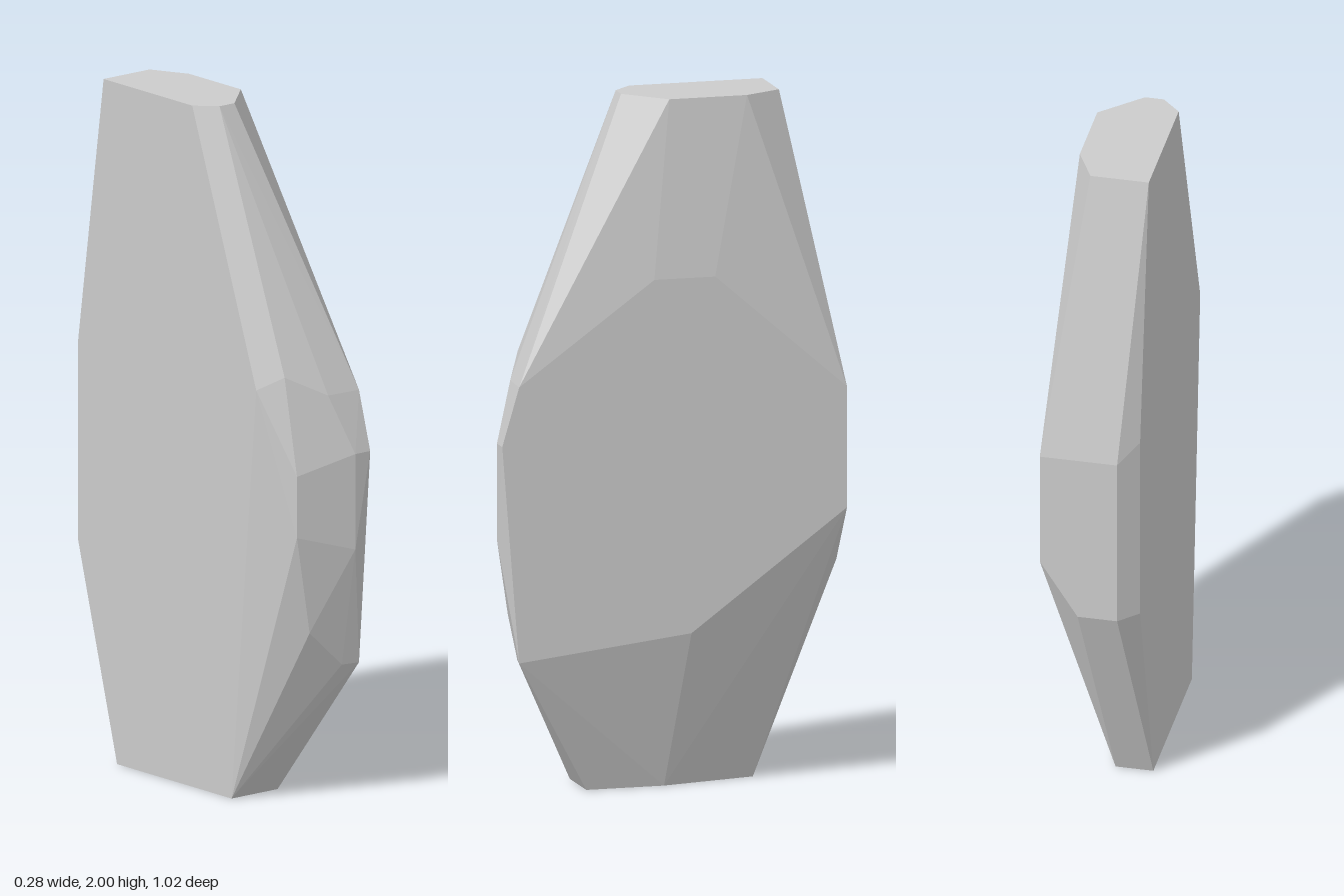
import * as THREE from 'three';
import { ConvexGeometry } from 'three/addons/geometries/ConvexGeometry.js';

// A flat faceted stone slab: the convex hull of its corner rings.
export function createModel() {
  const group = new THREE.Group();
  group.name = 'stone';
  const corners = [];
  const ring = (list) => list.forEach(([x, y, z]) => corners.push(new THREE.Vector3(x, y, z)));

  // flat top
  ring([[-0.14, 2, -0.34], [0.03, 2, -0.34], [0.085, 2, -0.23], [0.085, 2, 0],
    [-0.03, 2, 0.11], [-0.085, 2, 0.11], [-0.14, 2, 0.055]]);
  // flat base
  ring([[-0.14, 0, 0.23], [0.03, 0, 0.23], [0.03, 0, 0], [-0.03, 0, -0.28], [-0.14, 0, -0.28]]);
  // broad left face
  ring([[0.14, 1.2, 0.46], [0.14, 1.49, 0.06], [0.14, 1.49, -0.12], [0.14, 1.15, -0.51],
    [0.14, 0.8, -0.51], [0.14, 0.46, -0.05], [0.14, 0.4, 0.46], [0.14, 1.03, 0.51]]);
  // narrow back face
  ring([[0.03, 0.63, -0.51], [-0.085, 0.63, -0.51], [-0.085, 1.15, -0.51]]);
  // broad right face
  ring([[-0.14, 1.2, -0.455], [-0.14, 0.63, -0.455], [-0.14, 1.22, 0.34]]);
  // chipped front edge
  ring([[0.085, 1.03, 0.51], [0.085, 0.75, 0.51], [0.085, 0.4, 0.45], [0.03, 1.2, 0.455],
    [-0.085, 1.26, 0.4], [-0.085, 0.98, 0.455], [-0.085, 0.8, 0.455], [-0.03, 0.51, 0.445]]);

  const slab = new THREE.Mesh(
    new ConvexGeometry(corners),
    new THREE.MeshStandardMaterial({ color: 0xcccccc, flatShading: true })
  );
  slab.name = 'stoneSlab';
  group.add(slab);
  return group;
}
